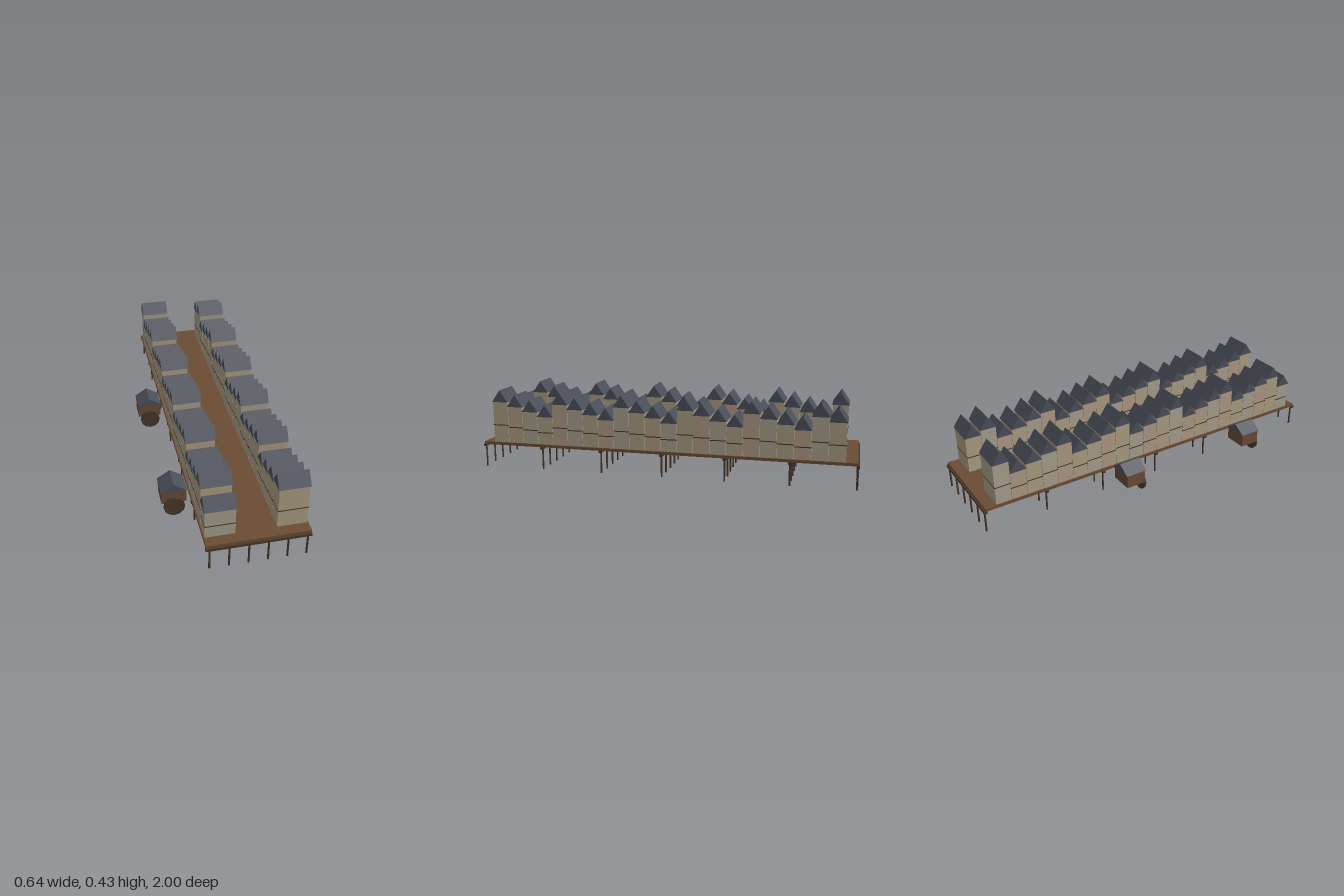
import * as THREE from 'three';

const mat = (color) => new THREE.MeshStandardMaterial({ color, flatShading: true, roughness: 0.9 });
const slate = mat(0x4a4e58);
const plank = mat(0x6b4c33);
const timber = mat(0x46372a);
const millWood = mat(0x6a4a36);
const plaster = [mat(0xa99c80), mat(0xad9883), mat(0xa69d8b)];

function add(parent, name, geometry, material, x, y, z) {
  const mesh = new THREE.Mesh(geometry, material);
  mesh.name = name;
  mesh.position.set(x, y, z);
  parent.add(mesh);
  return mesh;
}

const box = (w, h, d) => new THREE.BoxGeometry(w, h, d);

// Gabled roof prism with its ridge along z, centred, standing on y = 0
function roofGeometry(width, height, length) {
  const shape = new THREE.Shape();
  shape.moveTo(-width / 2, 0);
  shape.lineTo(width / 2, 0);
  shape.lineTo(0, height);
  shape.closePath();
  const g = new THREE.ExtrudeGeometry(shape, { depth: length, bevelEnabled: false });
  return g.translate(0, 0, -length / 2);
}

const DECK_TOP = 0.14;
const CENTRE_X = 0.069;
const houseRoof = roofGeometry(0.09, 0.065, 0.153).rotateY(Math.PI / 2);

// Narrow town house: walls, floor band and a roof with its ridge across the street
function makeHouse(height, wallMaterial) {
  const house = new THREE.Group();
  house.name = 'house';
  add(house, 'walls', box(0.145, height, 0.083), wallMaterial, 0, height / 2, 0);
  add(house, 'floorBand', box(0.1475, 0.005, 0.085), timber, 0, height * 0.428, 0);
  add(house, 'roof', houseRoof, slate, 0, height, 0);
  return house;
}

// Water mill hanging beside the deck, with a wheel on its front
function makeMill() {
  const mill = new THREE.Group();
  mill.name = 'waterMill';
  add(mill, 'millBody', box(0.125, 0.073, 0.108), millWood, 0, 0.1085, 0);
  add(mill, 'millRoof', roofGeometry(0.132, 0.043, 0.118), slate, 0, 0.145, 0);
  const wheel = new THREE.CylinderGeometry(0.054, 0.054, 0.012, 12).rotateX(Math.PI / 2);
  add(mill, 'millWheel', wheel, timber, 0, 0.055, 0.062);
  return mill;
}

export function createModel() {
  const model = new THREE.Group();
  model.name = 'houseBridge';

  add(model, 'deck', box(0.502, 0.015, 1.984), plank, CENTRE_X, 0.1325, 0);

  // Cross beams on rows of piles
  const pile = new THREE.CylinderGeometry(0.005, 0.005, 0.114, 6);
  for (let row = -3; row <= 3; row++) {
    const z = row * 0.3307;
    add(model, 'crossBeam', box(0.504, 0.013, 0.016), timber, CENTRE_X, 0.119, z);
    for (let i = 0; i < 6; i++) {
      add(model, 'pile', pile, timber, -0.165 + i * 0.0936, 0.057, z);
    }
  }

  // Two rows of houses, stepping down in groups of four from the front
  for (const side of [-1, 1]) {
    const row = new THREE.Group();
    row.name = side > 0 ? 'leftHouseRow' : 'rightHouseRow';
    const shift = side > 0 ? 0 : 3;
    for (let i = 0; i < 22; i++) {
      const level = (i + shift) % 4;
      const house = makeHouse(0.22 - level * 0.0235, plaster[(i + (side > 0 ? 0 : 2)) % 3]);
      house.position.set(CENTRE_X + side * 0.1715, DECK_TOP, 0.8945 - i * 0.085);
      row.add(house);
    }
    model.add(row);
  }

  // Mills on the right flank
  for (const z of [0.543, -0.219]) {
    const mill = makeMill();
    mill.position.set(-0.255, 0, z);
    model.add(mill);
  }
  return model;
}
